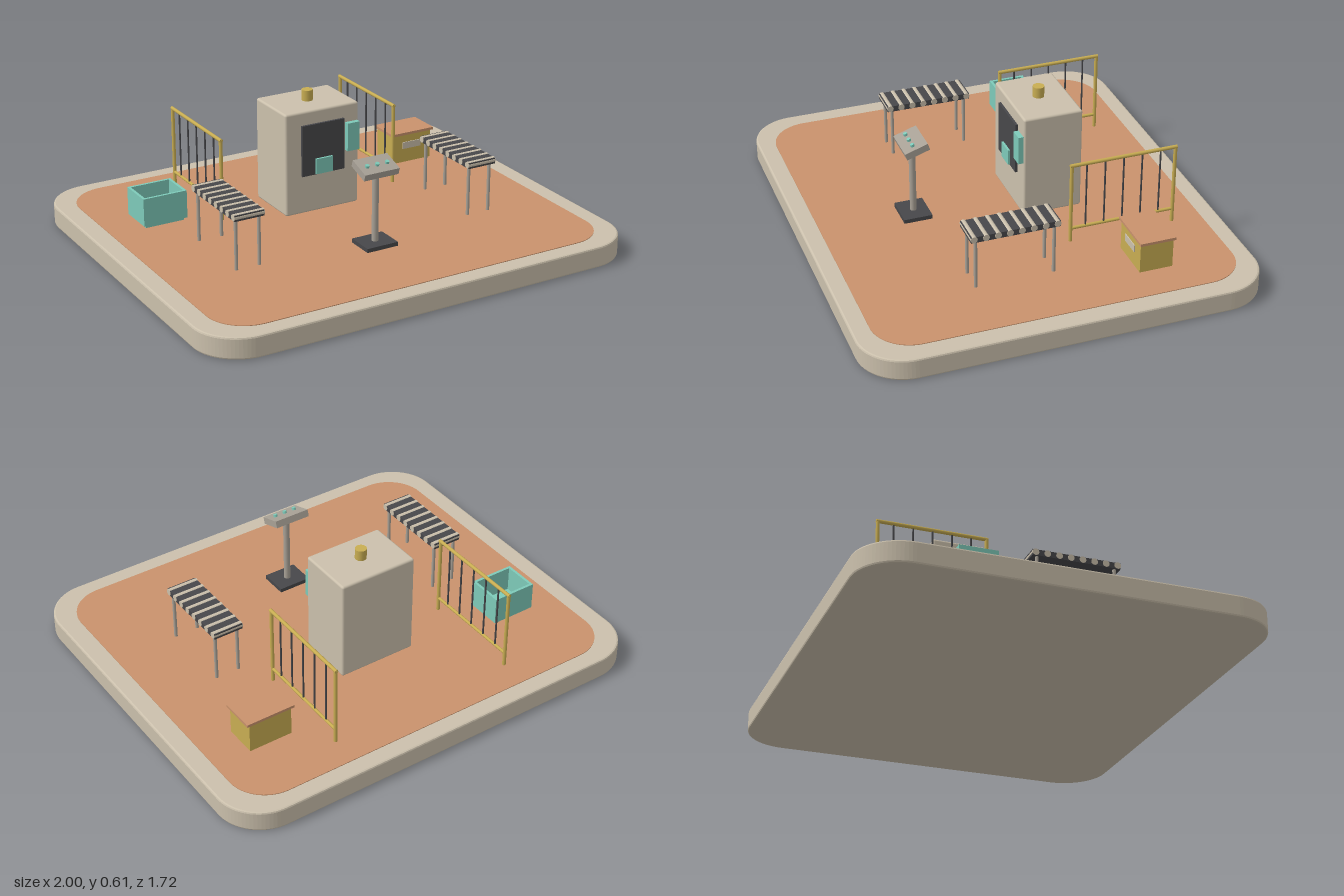
import * as THREE from 'three';
import { RoundedBoxGeometry } from 'three/addons/geometries/RoundedBoxGeometry.js';

const mat = (name, color) => {
  const m = new THREE.MeshStandardMaterial({ color });
  m.name = name;
  return m;
};
const stone = mat('warm stone', 0xcbc0ac);
const clay = mat('clay floor', 0xc9926c);
const teal = mat('teal', 0x7ecab9);
const dark = mat('charcoal', 0x47474a);
const brass = mat('brass', 0xc8ad52);
const steel = mat('warm grey metal', 0xa8a196);

function add(parent, name, geometry, material, x = 0, y = 0, z = 0) {
  const mesh = new THREE.Mesh(geometry, material);
  mesh.name = name;
  mesh.position.set(x, y, z);
  parent.add(mesh);
  return mesh;
}
const box = (w, h, d) => new THREE.BoxGeometry(w, h, d);
const rod = (r, h, sides = 16) => new THREE.CylinderGeometry(r, r, h, sides);

function group(parent, name, x = 0, y = 0, z = 0) {
  const g = new THREE.Group();
  g.name = name;
  g.position.set(x, y, z);
  parent.add(g);
  return g;
}

// Flat slab with rounded corners, standing on y = 0
function slab(hw, hd, r, height, bevel) {
  const w = hw - bevel, d = hd - bevel, c = r - bevel;
  const s = new THREE.Shape();
  s.moveTo(-w + c, -d);
  s.absarc(w - c, -d + c, c, -Math.PI / 2, 0);
  s.absarc(w - c, d - c, c, 0, Math.PI / 2);
  s.absarc(-w + c, d - c, c, Math.PI / 2, Math.PI);
  s.absarc(-w + c, -d + c, c, Math.PI, Math.PI * 1.5);
  const g = new THREE.ExtrudeGeometry(s, {
    depth: height - 2 * bevel, bevelEnabled: bevel > 0, bevelSize: bevel,
    bevelThickness: bevel, bevelSegments: 2, curveSegments: 10,
  });
  return g.translate(0, 0, bevel).rotateX(-Math.PI / 2);
}

const FLOOR = 0.098;

function addConveyor(root, x) {
  const g = group(root, 'rollerConveyor', x, 0, 0.132);
  add(g, 'conveyorBed', box(0.136, 0.026, 0.384), dark, 0, 0.333, 0);
  for (let i = 0; i < 8; i++) {
    const roller = add(g, 'roller', rod(0.0145, 0.14, 14), stone, 0, 0.3345, 0.179 - i * 0.0511);
    roller.rotation.z = Math.PI / 2;
  }
  for (const sx of [-1, 1]) for (const sz of [-1, 1]) {
    add(g, 'conveyorLeg', rod(0.0075, 0.23, 12), steel, sx * 0.053, 0.21, sz * 0.169);
  }
}

function addRailing(root, x) {
  const g = group(root, 'railing', x, 0, -0.418);
  for (const s of [-1, 1]) add(g, 'railPost', rod(0.008, 0.37, 12), brass, 0, 0.28, s * 0.233);
  for (const [y, r] of [[0.463, 0.008], [0.16, 0.007]]) {
    const rail = add(g, 'handRail', rod(r, y > 0.3 ? 0.48 : 0.466, 12), brass, 0, y, 0);
    rail.rotation.x = Math.PI / 2;
  }
  for (let i = -2; i <= 2; i++) add(g, 'railBar', rod(0.004, 0.303, 8), dark, 0, 0.3115, i * 0.083);
}

export function createModel() {
  const root = new THREE.Group();
  root.name = 'inspectionStation';

  // Platform
  add(root, 'platform', slab(1, 0.862, 0.2, 0.095, 0.008), stone);
  add(root, 'floorInlay', slab(0.914, 0.785, 0.17, 0.008, 0), clay, 0, 0.09, 0);

  // Cabinet with hatch, pickup tray, side screen and vent
  const cabinet = group(root, 'cabinet', 0, 0, -0.202);
  add(cabinet, 'cabinetBody', new RoundedBoxGeometry(0.362, 0.468, 0.264, 2, 0.01), stone, 0, 0.331, 0);
  add(cabinet, 'vent', rod(0.025, 0.05, 24), brass, 0, 0.588, 0);
  add(cabinet, 'darkPanel', box(0.21, 0.232, 0.012), dark, 0, 0.388, 0.137);
  add(cabinet, 'pickupTray', box(0.082, 0.07, 0.012), teal, 0, 0.311, 0.147);
  add(cabinet, 'sideScreen', box(0.06, 0.128, 0.024), teal, 0.144, 0.417, 0.143);

  // Control stand with a tilted head
  const stand = group(root, 'controlStand', 0, 0, 0.368);
  add(stand, 'standFoot', box(0.148, 0.02, 0.126), dark, 0, 0.106, 0);
  add(stand, 'standPost', rod(0.0145, 0.33, 16), steel, 0, 0.275, 0);
  const head = group(stand, 'standHead', 0, 0.445, 0);
  head.rotation.x = 0.32;
  add(head, 'headPanel', box(0.166, 0.031, 0.106), steel);
  for (const x of [-0.048, 0, 0.048]) add(head, 'button', rod(0.009, 0.012, 14), teal, x, 0.02, 0.006);

  // Conveyors and railings, one on each side
  for (const s of [-1, 1]) {
    addConveyor(root, s * 0.566);
    addRailing(root, s * 0.433);
  }

  // Open teal crate on a recessed foot
  const crate = group(root, 'openCrate', -0.667, 0, -0.338);
  add(crate, 'crateFoot', box(0.18, 0.02, 0.14), teal, 0, 0.104, 0);
  add(crate, 'crateFloor', box(0.204, 0.012, 0.164), teal, 0, 0.117, 0);
  for (const s of [-1, 1]) {
    add(crate, 'crateSide', box(0.012, 0.125, 0.164), teal, s * 0.096, 0.174, 0);
    add(crate, 'crateEnd', box(0.18, 0.125, 0.012), teal, 0, 0.174, s * 0.076);
  }

  // Lidded storage bin
  const bin = group(root, 'storageBin', 0.652, 0, -0.437);
  add(bin, 'binBody', box(0.198, 0.136, 0.146), brass, 0, 0.165, 0);
  add(bin, 'binLid', box(0.224, 0.012, 0.158), clay, 0, 0.238, 0);
  add(bin, 'binLabel', box(0.095, 0.032, 0.006), stone, -0.004, 0.18, 0.074);

  return root;
}
